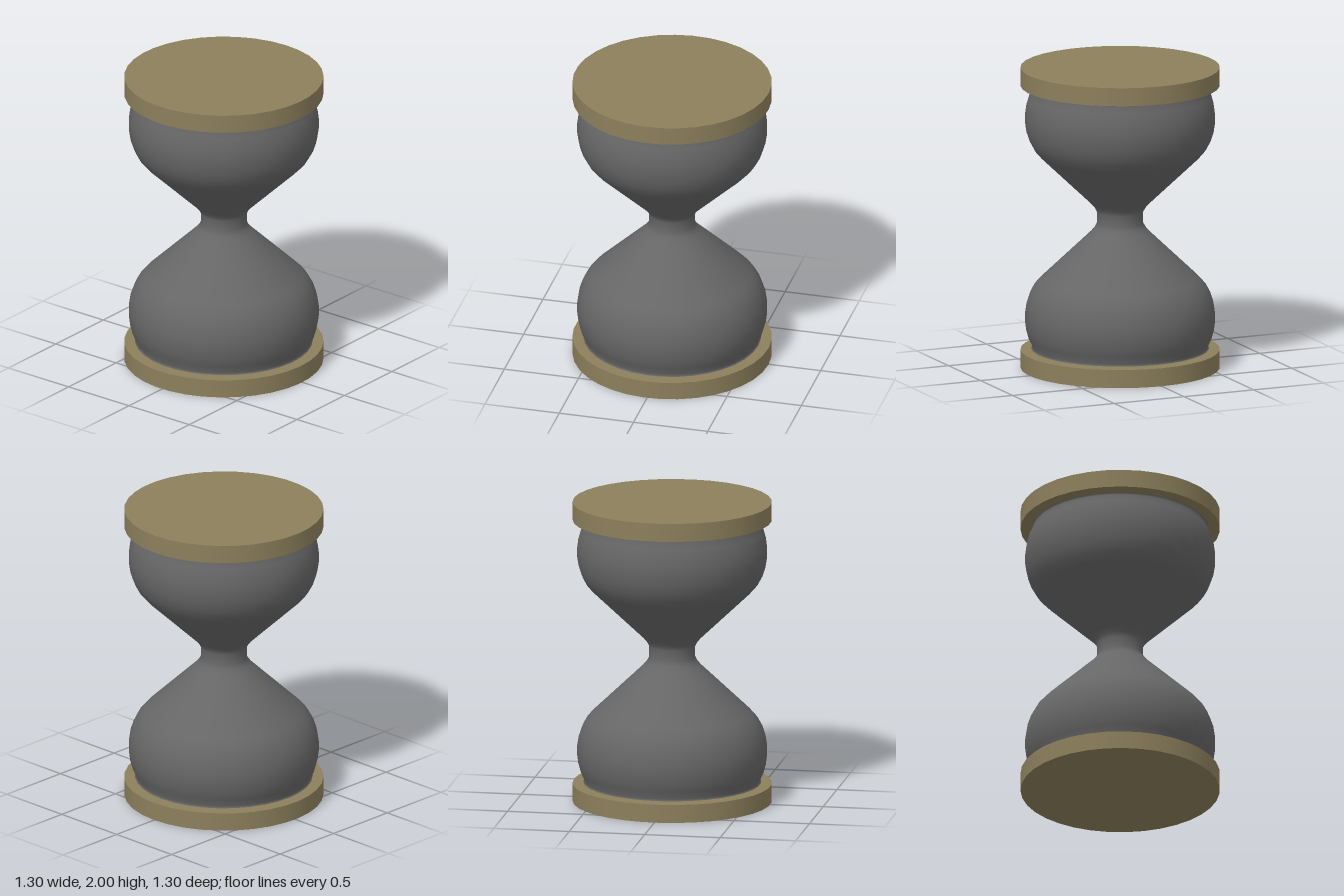
import * as THREE from 'three';

const SIDES = 35;

export function createModel() {
  const group = new THREE.Group();
  const wood = new THREE.MeshStandardMaterial({ color: 0x8c7f5c });
  const glass = new THREE.MeshStandardMaterial({ color: 0x666666, side: THREE.DoubleSide });

  // Round end plates, with a corner on the +x axis
  const plate = new THREE.CylinderGeometry(0.65, 0.65, 0.12, SIDES, 1, false, Math.PI / 2);
  for (const [name, y] of [['bottomPlate', 0.06], ['topPlate', 1.94]]) {
    const mesh = new THREE.Mesh(plate, wood);
    mesh.name = name;
    mesh.position.y = y;
    group.add(mesh);
  }

  // Half of the bulb profile: radius and height above the waist
  const half = [
    [0.15, 0.035], [0.165, 0.065], [0.19, 0.095], [0.52, 0.41], [0.56, 0.455],
    [0.59, 0.51], [0.61, 0.57], [0.62, 0.635], [0.62, 0.69], [0.612, 0.75],
    [0.595, 0.81], [0.57, 0.86], [0.58, 0.872],
  ];
  const profile = [
    ...half.map(([r, h]) => new THREE.Vector2(r, 1 - h)).reverse(),
    ...half.map(([r, h]) => new THREE.Vector2(r, 1 + h)),
  ];
  const bulb = new THREE.Mesh(new THREE.LatheGeometry(profile, SIDES, Math.PI / 2), glass);
  bulb.name = 'glassBulb';
  group.add(bulb);

  // Flat lids closing both ends of the bulb
  const lid = new THREE.CircleGeometry(0.58, SIDES);
  for (const s of [1, -1]) {
    const mesh = new THREE.Mesh(lid, glass);
    mesh.name = s > 0 ? 'bulbTopLid' : 'bulbBottomLid';
    mesh.rotation.x = -s * Math.PI / 2;
    mesh.position.y = 1 + s * 0.872;
    group.add(mesh);
  }
  return group;
}
